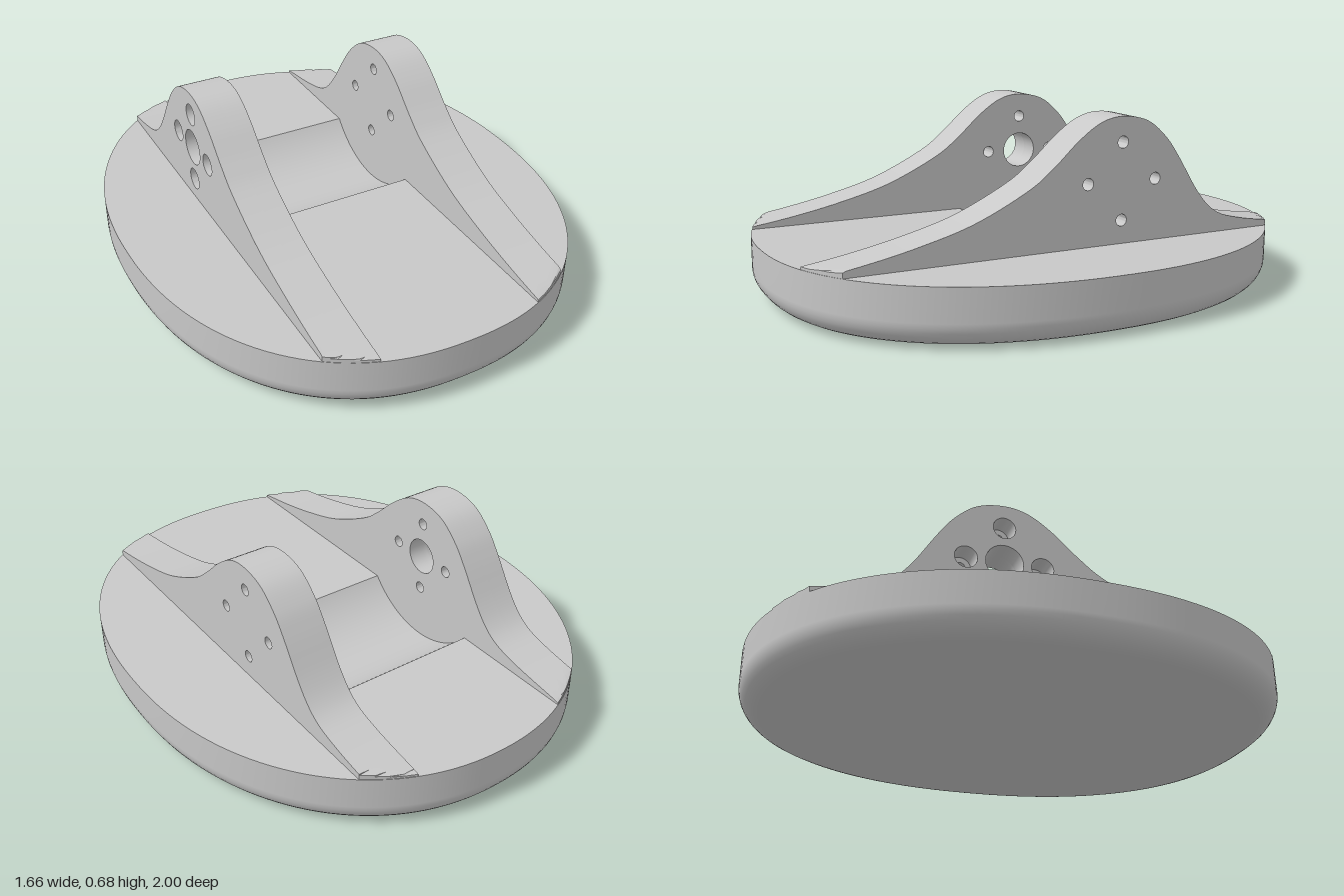
import * as THREE from 'three';
import { toCreasedNormals } from 'three/addons/utils/BufferGeometryUtils.js';

const HALF_W = 0.83, TOP = 0.21, FILLET = 0.09;
const IN = 0.31, OUT = 0.475;               // bracket inner and outer x
const HUB_Z = -0.177, HUB_Y = 0.437;        // axis shared by holes and trough
const TROUGH_HALF = 0.272;

// Egg-like outline: superellipse, slightly squarer towards the front
const power = (front) => (front ? 2.27 : 2.13);
const zLimit = (x, front) => {
  const n = power(front);
  return 0.998 * Math.pow(1 - Math.pow(Math.abs(x) / HALF_W, n), 1 / n);
};

function outline(inset, count = 144) {
  const pts = [];
  for (let i = 0; i < count; i++) {
    const t = (i / count) * Math.PI * 2, c = Math.cos(t), s = Math.sin(t);
    const n = power(s >= 0);
    const u = Math.sign(c) * Math.pow(Math.abs(c), 2 / n);
    const v = Math.sign(s) * Math.pow(Math.abs(s), 2 / n);
    const normal = new THREE.Vector2(
      Math.sign(u) * Math.pow(Math.abs(u), n - 1) / HALF_W,
      Math.sign(v) * Math.pow(Math.abs(v), n - 1)).normalize();
    pts.push(new THREE.Vector2(u * HALF_W, v).addScaledVector(normal, -inset));
  }
  return pts;
}

// Rim wall with a rounded lower edge, lofted from inset outlines
function wallGeometry() {
  const rows = [[TOP, 0]];
  for (let k = 0; k <= 8; k++) {
    const a = (k / 8) * Math.PI / 2;
    rows.push([FILLET * (1 - Math.sin(a)), FILLET * (1 - Math.cos(a))]);
  }
  const pos = [], idx = [];
  rows.forEach(([y, inset], r) => {
    const loop = outline(inset), n = loop.length;
    loop.forEach((p, i) => {
      pos.push(p.x, y, p.y);
      if (r === 0) return;
      const j = (i + 1) % n, up = (r - 1) * n, lo = r * n;
      idx.push(up + i, up + j, lo + i, up + j, lo + j, lo + i);
    });
  });
  const g = new THREE.BufferGeometry();
  g.setAttribute('position', new THREE.Float32BufferAttribute(pos, 3));
  g.setIndex(idx);
  g.computeVertexNormals();
  return g;
}

// Bell-shaped side profile as (z, y)
const PROFILE = [
  [1.0, 0.213], [0.8, 0.243], [0.6, 0.284], [0.4, 0.341], [0.2, 0.435], [0.1, 0.508],
  [0, 0.597], [-0.09, 0.654], [-0.18, 0.67], [-0.28, 0.649], [-0.36, 0.587],
  [-0.42, 0.51], [-0.5, 0.388], [-0.56, 0.318], [-0.62, 0.279], [-0.7, 0.256],
  [-0.8, 0.238], [-1.0, 0.211],
].map(([z, y]) => new THREE.Vector2(z, y));

function circleHole(z, y, r) {
  const p = new THREE.Path();
  p.absarc(z, y, r, 0, Math.PI * 2, true);
  return p;
}

// A bracket slab between two x positions, trimmed to the base outline
function slabGeometry(x0, x1, boltR, hubR) {
  const pts = new THREE.SplineCurve(PROFILE).getPoints(110);
  const shape = new THREE.Shape([...pts, new THREE.Vector2(-1, TOP), new THREE.Vector2(1, TOP)]);
  for (let i = 0; i < 4; i++) {
    const a = i * Math.PI / 2;
    shape.holes.push(circleHole(HUB_Z + 0.141 * Math.cos(a), HUB_Y + 0.141 * Math.sin(a), boltR));
  }
  if (hubR) shape.holes.push(circleHole(HUB_Z, HUB_Y, hubR));
  const g = new THREE.ExtrudeGeometry(shape, {
    depth: x1 - x0, steps: 4, bevelEnabled: false, curveSegments: 14,
  });
  g.rotateY(-Math.PI / 2).translate(x1, 0, 0);
  const p = g.attributes.position;
  for (let i = 0; i < p.count; i++) {
    const x = p.getX(i);
    p.setZ(i, THREE.MathUtils.clamp(p.getZ(i), -zLimit(x, false), zLimit(x, true)));
  }
  return toCreasedNormals(g, 0.5);
}

export function createModel() {
  const model = new THREE.Group();
  model.name = 'bracketBase';
  const grey = new THREE.MeshStandardMaterial({ color: 0xc8c8c8, side: THREE.DoubleSide });
  grey.name = 'plain grey';
  const add = (parent, name, geometry) => {
    const m = new THREE.Mesh(geometry, grey);
    m.name = name;
    parent.add(m);
  };

  // Base body
  const base = new THREE.Group();
  base.name = 'base';
  model.add(base);
  add(base, 'baseRim', wallGeometry());
  const bottom = new THREE.ShapeGeometry(new THREE.Shape(outline(FILLET)));
  add(base, 'baseBottom', bottom.rotateX(Math.PI / 2));

  // Flat top with the trough opening
  const topShape = new THREE.Shape(outline(0).map((p) => new THREE.Vector2(p.x, -p.y)));
  const zA = -(HUB_Z - TROUGH_HALF), zB = -(HUB_Z + TROUGH_HALF);
  topShape.holes.push(new THREE.Path([[-IN, zA], [-IN, zB], [IN, zB], [IN, zA]]
    .map(([x, y]) => new THREE.Vector2(x, y))));
  const top = new THREE.ShapeGeometry(topShape);
  add(base, 'baseTop', top.rotateX(-Math.PI / 2).translate(0, TOP, 0));

  // Curved trough sunk between the brackets
  const radius = Math.hypot(TROUGH_HALF, HUB_Y - TOP);
  const half = Math.asin(TROUGH_HALF / radius), mid = Math.PI * 1.5;
  const trough = new THREE.CylinderGeometry(radius, radius, IN * 2, 32, 1, true, mid - half, half * 2);
  add(base, 'troughFloor', trough.rotateZ(Math.PI / 2).translate(0, HUB_Y, HUB_Z));
  const segment = new THREE.Shape();
  segment.absarc(HUB_Z, HUB_Y, radius, mid - half, mid + half, false);
  for (const [name, x] of [['troughLeftWall', IN], ['troughRightWall', -IN]]) {
    add(base, name, new THREE.ShapeGeometry(segment, 32).rotateY(-Math.PI / 2).translate(x, 0, 0));
  }

  // Left bracket: bolt holes only
  add(model, 'leftBracket', slabGeometry(IN, OUT, 0.022, 0));

  // Right bracket: hub hole, bolt holes counterbored from outside
  const right = new THREE.Group();
  right.name = 'rightBracket';
  model.add(right);
  const step = -(IN + OUT) / 2;
  add(right, 'rightBracketInner', slabGeometry(step, -IN, 0.022, 0.07));
  add(right, 'rightBracketOuter', slabGeometry(-OUT, step, 0.042, 0.07));

  // The piece rests with a very slight lean
  model.rotation.set(-0.004, 0, -0.009);
  model.position.y = 0.009;
  return model;
}
